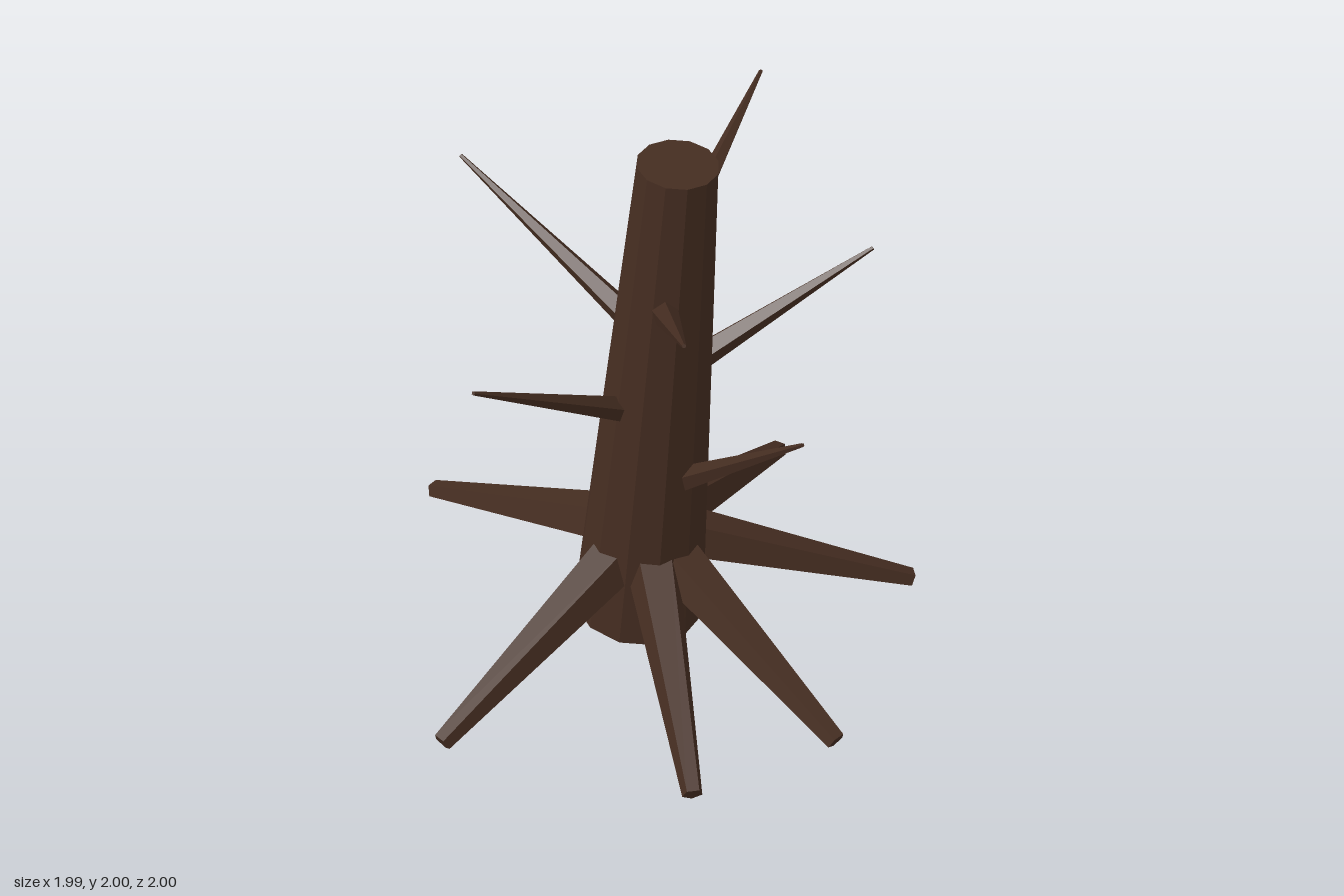
import * as THREE from 'three';

const V = (x, y, z) => new THREE.Vector3(x, y, z);

export function createModel() {
  const model = new THREE.Group();
  const bark = new THREE.MeshStandardMaterial({ color: 0x452d21 });
  bark.name = 'darkBark';
  bark.flatShading = true;

  // Tapered straight limb from a to b; `ridge` (+1 up, -1 down) sets where a corner of its section points
  function limb(name, a, b, rBase, rTip, sides, ridge) {
    const axis = b.clone().sub(a);
    const geo = new THREE.CylinderGeometry(rTip, rBase, axis.length(), sides);
    axis.normalize();
    const corner = V(0, ridge, 0).addScaledVector(axis, -ridge * axis.y).normalize();
    const side = axis.clone().cross(corner);
    const mid = a.clone().add(b).multiplyScalar(0.5);
    geo.applyMatrix4(new THREE.Matrix4().makeBasis(side, axis, corner).setPosition(mid));
    const mesh = new THREE.Mesh(geo, bark);
    mesh.name = name;
    model.add(mesh);
  }

  // Leaning trunk
  limb('trunk', V(-0.007, 0.036, -0.01), V(0.17, 1.99, -0.01), 0.242, 0.132, 12, 1);

  // Roots spread from the trunk axis down to the ground
  const rootTips = [
    [0.985, -0.012], [0.83, 0.52], [0.075, 0.985], [-0.985, 0.16],
    [-0.735, -0.695], [-0.262, -0.985], [0.595, -0.815],
  ];
  rootTips.forEach(([x, z], i) => {
    const tip = V(x, 0.037, z);
    const base = V(0.03, 0.405, -0.01).lerp(tip, 0.1);
    limb('root' + (i + 1), base, tip, 0.102, 0.036, 5, -1);
  });

  // Bare pointed branches: base, tip
  const branches = [
    [[0.07, 1.60, -0.11], [-0.21, 1.86, -0.76]],
    [[0.22, 1.49, 0.09], [0.64, 1.75, 0.405]],
    [[-0.02, 1.29, 0.01], [-0.765, 1.64, 0.12]],
    [[0.18, 1.19, -0.13], [0.46, 1.53, -0.63]],
    [[0.07, 1.03, 0.13], [0.06, 1.425, 0.76]],
    [[-0.07, 0.915, -0.13], [-0.58, 1.32, -0.54]],
    [[0.21, 0.73, -0.01], [0.76, 1.21, -0.01]],
  ];
  branches.forEach(([a, b], i) => limb('branch' + (i + 1), V(...a), V(...b), 0.046, 0.007, 5, 1));

  return model;
}
